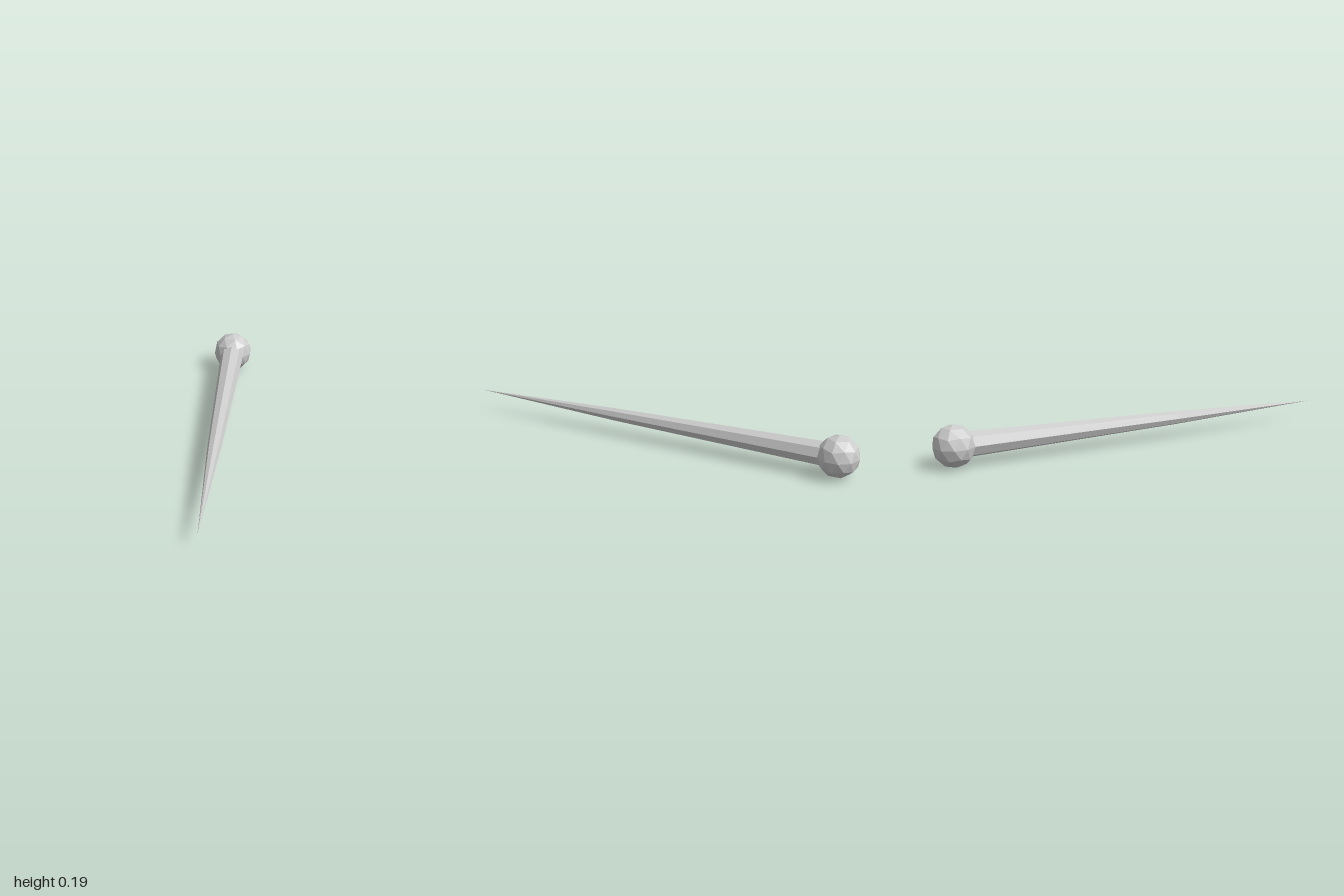
import * as THREE from 'three';

const BALL_RADIUS = 0.0973;
const BALL_Z = -1 + BALL_RADIUS;

// Once-subdivided icosahedron with a vertex at each vertical pole
function ballGeometry(radius) {
  const ringY = 1 / Math.sqrt(5), ringR = 2 / Math.sqrt(5);
  const vertices = [0, 1, 0];
  for (const [y, offset] of [[ringY, 0], [-ringY, Math.PI / 5]]) {
    for (let k = 0; k < 5; k++) {
      const a = offset + k * Math.PI * 0.4;
      vertices.push(ringR * Math.cos(a), y, -ringR * Math.sin(a));
    }
  }
  vertices.push(0, -1, 0);

  const faces = [];
  for (let k = 0; k < 5; k++) {
    const n = (k + 1) % 5;
    const u = 1 + k, uNext = 1 + n, l = 6 + k, lNext = 6 + n;
    faces.push(0, u, uNext, u, l, uNext, l, lNext, uNext, 11, lNext, l);
  }
  return new THREE.PolyhedronGeometry(vertices, faces, radius, 1);
}

// Eight-sided spike: [radius, z] from the base hidden in the ball to the tip
function shaftGeometry() {
  const profile = [[0, BALL_Z], [0.06, BALL_Z], [0.032, 0.2], [0, 0.97]];
  const points = profile.map(([r, z]) => new THREE.Vector2(r, z));
  return new THREE.LatheGeometry(points, 8).rotateX(Math.PI / 2);
}

export function createModel() {
  const model = new THREE.Group();
  model.name = 'pin';
  const material = new THREE.MeshStandardMaterial({ color: 0xcccccc, flatShading: true });

  const ball = new THREE.Mesh(ballGeometry(BALL_RADIUS), material);
  ball.name = 'ballHead';
  ball.position.set(0, BALL_RADIUS, BALL_Z);

  const shaft = new THREE.Mesh(shaftGeometry(), material);
  shaft.name = 'taperedShaft';
  shaft.position.y = BALL_RADIUS;

  model.add(ball, shaft);
  return model;
}
